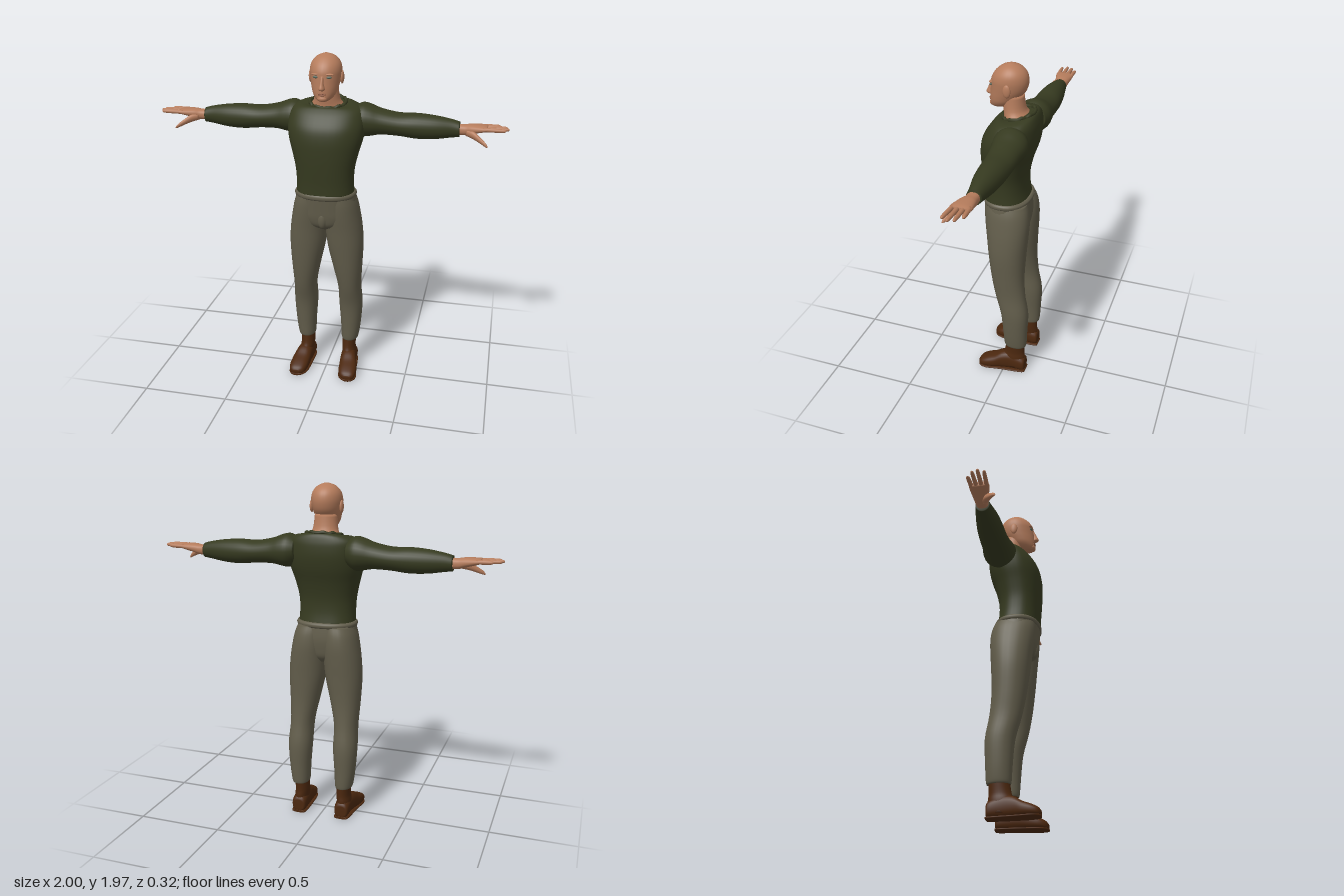
import * as THREE from 'three';

const mat = (name, color) => {
  const m = new THREE.MeshStandardMaterial({ color });
  m.name = name;
  return m;
};

// Smooth skin over cross-sections, listed in increasing order along one axis.
// Ring: [position, u0, u1, v0, v1, tilt]; (u,v) is (y,z) for x, (z,x) for y, (x,y) for z.
function loft(axis, rings, { power = 1, sides = 28, steps = 4 } = {}) {
  const rows = [];
  const at = i => rings[Math.max(0, Math.min(rings.length - 1, i))];
  for (let i = 0; i < rings.length - 1; i++) {
    for (let s = 0; s < steps || (i === rings.length - 2 && s === steps); s++) {
      const t = s / steps;
      rows.push([0, 1, 2, 3, 4, 5].map(k => {
        const [a, b, c, d] = [at(i - 1), at(i), at(i + 1), at(i + 2)].map(r => r[k] || 0);
        return b + 0.5 * t * (c - a + t * (2 * a - 5 * b + 4 * c - d + t * (3 * (b - c) + d - a)));
      }));
    }
  }
  const pos = [], index = [];
  const put = (c, u, v) => pos.push(...(axis === 'x' ? [c, u, v] : axis === 'y' ? [v, c, u] : [u, v, c]));
  const bend = f => Math.sign(f) * Math.abs(f) ** power;
  for (const [c, u0, u1, v0, v1, tilt] of rows) {
    for (let j = 0; j < sides; j++) {
      const a = j / sides * Math.PI * 2, cu = bend(Math.cos(a)), cv = bend(Math.sin(a));
      put(c + tilt * cu, (u0 + u1) / 2 + cu * (u1 - u0) / 2, (v0 + v1) / 2 + cv * (v1 - v0) / 2);
    }
  }
  for (let i = 0; i < rows.length - 1; i++) {
    for (let j = 0; j < sides; j++) {
      const k = (j + 1) % sides, a = i * sides, b = a + sides;
      index.push(a + j, a + k, b + k, a + j, b + k, b + j);
    }
  }
  // End caps
  const last = (rows.length - 1) * sides, mid = pos.length / 3;
  for (const r of [rows[0], rows[rows.length - 1]]) put(r[0], (r[1] + r[2]) / 2, (r[3] + r[4]) / 2);
  for (let j = 0; j < sides; j++) {
    const k = (j + 1) % sides;
    index.push(mid, k, j, mid + 1, last + j, last + k);
  }
  const g = new THREE.BufferGeometry();
  g.setAttribute('position', new THREE.Float32BufferAttribute(pos, 3));
  g.setIndex(index);
  g.computeVertexNormals();
  return g;
}

function mirror(geometry) {
  const g = geometry.clone().scale(-1, 1, 1), ix = g.index.array;
  for (let i = 0; i < ix.length; i += 3) [ix[i], ix[i + 1]] = [ix[i + 1], ix[i]];
  g.computeVertexNormals();
  return g;
}

const blob = (x, y, z, a, b, c) => new THREE.SphereGeometry(1, 16, 12).scale(a, b, c).translate(x, y, z);

// Symmetric upright section: [y, back, front, half width, tilt]
const sym = rows => rows.map(([y, b, f, w, t = 0]) => [y, b, f, -w, w, t]);

export function createModel() {
  const root = new THREE.Group();
  const skin = mat('skin', 0xb57c5c), shirt = mat('shirt green', 0x363a20), pants = mat('trouser grey', 0x625d4b);
  const leather = mat('boot leather', 0x4c280f), eye = mat('eye', 0x5c6a5c), lip = mat('lip', 0x935f48);
  const add = (name, g, m) => {
    const mesh = new THREE.Mesh(g, m);
    mesh.name = name;
    root.add(mesh);
  };
  const pair = (name, g, m) => {
    add('left ' + name, g, m);
    add('right ' + name, mirror(g), m);
  };

  // Head, neck and face
  add('head', loft('y', sym([
    [1.722, 0.05, 0.112, 0.026], [1.735, 0, 0.121, 0.046], [1.76, -0.03, 0.121, 0.064],
    [1.79, -0.055, 0.12, 0.074], [1.82, -0.078, 0.118, 0.081], [1.85, -0.089, 0.116, 0.086],
    [1.88, -0.092, 0.113, 0.088], [1.91, -0.086, 0.1, 0.083], [1.935, -0.07, 0.079, 0.069],
    [1.955, -0.043, 0.052, 0.046], [1.968, -0.005, 0.015, 0.012]])), skin);
  add('neck', loft('y', sym([
    [1.63, -0.12, 0.04, 0.11], [1.68, -0.108, 0.04, 0.092], [1.72, -0.078, 0.046, 0.072],
    [1.8, -0.066, 0.055, 0.064]])), skin);
  add('nose', loft('y', sym([
    [1.783, 0.1, 0.126, 0.012], [1.793, 0.1, 0.146, 0.018], [1.82, 0.1, 0.136, 0.011],
    [1.86, 0.1, 0.118, 0.008]]), { sides: 14 }), skin);
  add('chin', blob(0, 1.738, 0.108, 0.028, 0.017, 0.018), skin);
  add('upper lip', blob(0, 1.767, 0.118, 0.024, 0.004, 0.008), lip);
  add('lower lip', blob(0, 1.759, 0.117, 0.021, 0.005, 0.009), lip);
  pair('eye', blob(0.035, 1.854, 0.104, 0.018, 0.007, 0.009), eye);
  pair('brow', blob(0.036, 1.869, 0.102, 0.027, 0.006, 0.012).rotateZ(0), skin);
  pair('ear', blob(0.088, 1.84, 0.002, 0.011, 0.036, 0.022), skin);

  // Jumper body and loose collar
  add('jumper body', loft('y', sym([
    [1.182, -0.105, 0.148, 0.166], [1.25, -0.094, 0.15, 0.163], [1.33, -0.095, 0.156, 0.168],
    [1.42, -0.115, 0.161, 0.188], [1.5, -0.142, 0.16, 0.21], [1.57, -0.156, 0.145, 0.218],
    [1.63, -0.156, 0.108, 0.212], [1.665, -0.15, 0.076, 0.196], [1.685, -0.14, 0.058, 0.155, -0.008],
    [1.688, -0.126, 0.047, 0.104, -0.018]]), { power: 0.85, sides: 44 }), shirt);
  const rim = [];
  for (let i = 0; i < 24; i++) {
    const a = i / 24 * Math.PI * 2;
    rim.push(new THREE.Vector3(0.102 * Math.sin(a), 1.69 - 0.018 * Math.cos(a) + 0.004 * Math.sin(i * 2.6),
      -0.04 + 0.087 * Math.cos(a)));
  }
  add('collar', new THREE.TubeGeometry(new THREE.CatmullRomCurve3(rim, true), 72, 0.01, 8, true), shirt);

  // Sleeves
  pair('sleeve', loft('x', [
    [0.15, 1.53, 1.67, -0.14, 0.02], [0.195, 1.5, 1.69, -0.158, 0.035], [0.24, 1.503, 1.682, -0.158, 0.032],
    [0.3, 1.514, 1.66, -0.15, 0.022], [0.4, 1.512, 1.642, -0.145, 0.014], [0.5, 1.502, 1.644, -0.138, 0.01],
    [0.6, 1.506, 1.637, -0.125, 0], [0.69, 1.52, 1.622, -0.108, -0.018], [0.735, 1.526, 1.61, -0.1, -0.022]]), shirt);

  // Hands
  pair('hand', loft('x', [
    [0.7, 1.54, 1.598, -0.093, -0.03], [0.76, 1.54, 1.598, -0.095, -0.025], [0.8, 1.55, 1.603, -0.1, -0.012],
    [0.86, 1.566, 1.603, -0.106, 0.002], [0.885, 1.574, 1.598, -0.104, 0.001]], { power: 0.85 }), skin);
  const fingers = [['index finger', -0.012, -0.003, 0.985], ['middle finger', -0.039, -0.035, 1],
    ['ring finger', -0.066, -0.066, 0.99], ['little finger', -0.092, -0.096, 0.955]];
  for (const [name, z0, z1, tip] of fingers) {
    const ring = (x, t, r) => {
      const z = z0 + (z1 - z0) * t, y = 1.586 + 0.002 * t;
      return [x, y - r, y + r, z - r, z + r];
    };
    pair(name, loft('x', [ring(0.86, 0, 0.012), ring(0.92, 0.5, 0.0115), ring(tip - 0.012, 0.9, 0.009),
      ring(tip, 1, 0.002)], { sides: 12 }), skin);
  }
  pair('thumb', loft('x', [
    [0.77, 1.54, 1.58, -0.06, -0.02], [0.81, 1.53, 1.575, -0.04, 0.004], [0.85, 1.515, 1.547, -0.008, 0.023],
    [0.88, 1.502, 1.524, 0.017, 0.037], [0.893, 1.5, 1.506, 0.032, 0.039]], { sides: 14 }), skin);

  // Trousers
  add('waistband', loft('y', sym([
    [1.16, -0.112, 0.146, 0.17], [1.168, -0.12, 0.152, 0.177], [1.182, -0.121, 0.153, 0.178],
    [1.192, -0.112, 0.148, 0.17]]), { power: 0.9, sides: 40 }), pants);
  add('trouser seat', loft('y', sym([
    [0.955, -0.07, 0.06, 0.05], [0.99, -0.1, 0.112, 0.13], [1.04, -0.112, 0.13, 0.182],
    [1.1, -0.118, 0.138, 0.182], [1.175, -0.112, 0.146, 0.17]]), { power: 0.9, sides: 40 }), pants);
  add('fly', blob(0, 1.04, 0.11, 0.03, 0.06, 0.028), pants);
  pair('trouser leg', loft('y', [
    [0.19, -0.135, -0.005, 0.088, 0.183], [0.21, -0.139, 0, 0.084, 0.19], [0.3, -0.143, 0.006, 0.08, 0.202],
    [0.44, -0.147, 0.02, 0.07, 0.211], [0.57, -0.126, 0.055, 0.068, 0.205], [0.7, -0.116, 0.08, 0.042, 0.212],
    [0.85, -0.121, 0.1, 0.008, 0.219], [0.96, -0.129, 0.112, -0.004, 0.212], [1.05, -0.133, 0.124, -0.01, 0.198],
    [1.12, -0.126, 0.13, -0.01, 0.183], [1.17, -0.11, 0.13, -0.01, 0.165]], { power: 0.92 }), pants);

  // Boots
  pair('boot shaft', loft('y', [
    [0.03, -0.125, 0.01, 0.095, 0.18], [0.1, -0.128, 0.015, 0.092, 0.177], [0.14, -0.124, 0, 0.09, 0.172],
    [0.205, -0.127, -0.01, 0.092, 0.176]]), leather);
  pair('boot foot', loft('z', [
    [-0.134, 0.105, 0.165, 0.015, 0.08], [-0.12, 0.092, 0.178, 0.004, 0.1], [-0.05, 0.09, 0.182, 0.002, 0.125],
    [0.01, 0.092, 0.192, 0.002, 0.12], [0.06, 0.095, 0.204, 0.002, 0.092], [0.11, 0.1, 0.208, 0.002, 0.072],
    [0.145, 0.115, 0.2, 0.004, 0.054], [0.16, 0.14, 0.18, 0.015, 0.036]], { power: 0.8 }), leather);
  pair('boot sole', loft('z', [
    [-0.135, 0.11, 0.16, 0, 0.012], [-0.12, 0.09, 0.18, 0, 0.014], [0.02, 0.09, 0.196, 0, 0.014],
    [0.11, 0.098, 0.21, 0, 0.014], [0.15, 0.12, 0.196, 0, 0.014], [0.162, 0.145, 0.175, 0, 0.012]],
  { power: 0.6 }), leather);

  return root;
}
